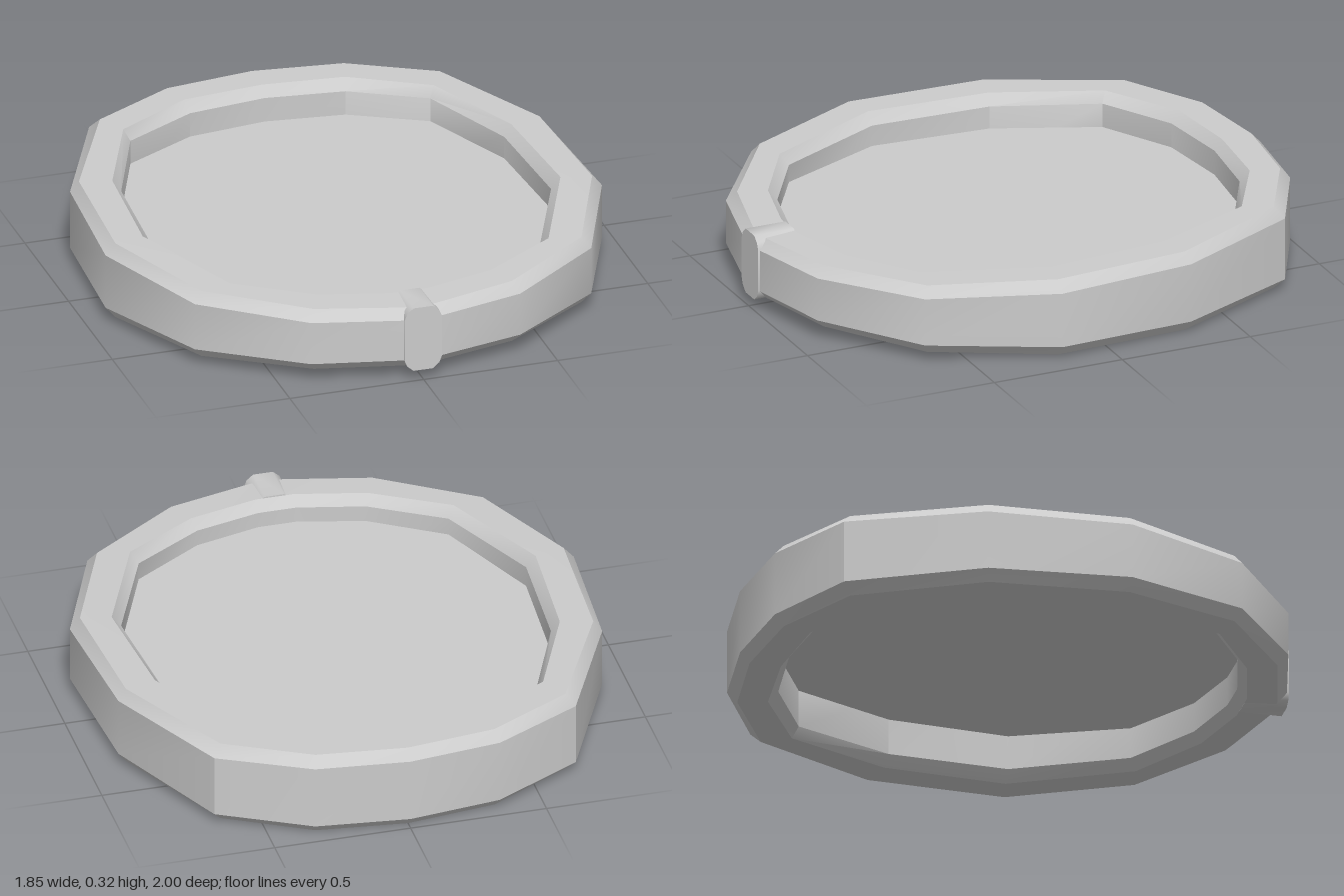
import * as THREE from 'three';
import { toCreasedNormals } from 'three/addons/utils/BufferGeometryUtils.js';

const MID = 0.16; // the rim mirrors above and below this height
const PANEL_Y = 0.185; // height of the thin panel inside the rim

// right half outlines [x, z], from back centre round to the front
const panelEdge = [[0, -0.82], [0.29, -0.785], [0.56, -0.64], [0.715, -0.27], [0.745, 0.175], [0.57, 0.58], [0.31, 0.745], [0.07, 0.805]];
const rimInner = [[0, -0.85], [0.3, -0.82], [0.58, -0.66], [0.745, -0.28], [0.78, 0.175], [0.595, 0.605], [0.325, 0.775], [0.07, 0.84]];
const rimOuter = [[0, -0.965], [0.33, -0.925], [0.635, -0.76], [0.86, -0.31], [0.89, 0.2], [0.71, 0.63], [0.37, 0.875], [0.06, 0.955]];
const wall = [[0, -1], [0.34, -0.96], [0.665, -0.79], [0.89, -0.32], [0.927, 0.2], [0.74, 0.65], [0.39, 0.91], [0.05, 0.992]];

// piecewise linear height along z
function along(z, stops) {
  for (let i = 1; i < stops.length; i++) {
    const [z0, y0] = stops[i - 1], [z1, y1] = stops[i];
    if (z <= z1 || i === stops.length - 1) {
      return THREE.MathUtils.lerp(y0, y1, THREE.MathUtils.clamp((z - z0) / (z1 - z0), 0, 1));
    }
  }
}
const rimY = (z) => along(z, [[-0.95, 0.318], [0.2, 0.305], [0.83, 0.28], [1, 0.272]]);
const wallY = (z) => along(z, [[-1, 0.28], [0.2, 0.263], [1, 0.238]]);

// full closed outline from its right half
const mirror = (half) => [...half, ...half.slice(1).reverse().map(([x, z]) => [-x, z])];
const loop = (half, height) => mirror(half).map(([x, z]) => [x, height(z), z]);

// closed band: inner wall, bevels, flat rims and outer wall
function rimGeometry() {
  const upper = [loop(panelEdge, wallY), loop(rimInner, rimY), loop(rimOuter, rimY), loop(wall, wallY)];
  const lower = upper.map((l) => l.map(([x, y, z]) => [x, 2 * MID - y, z])).reverse();
  const loops = [...upper, ...lower];
  const n = loops[0].length;
  const pos = [];
  loops.forEach((ring, k) => {
    const next = loops[(k + 1) % loops.length];
    for (let i = 0; i < n; i++) {
      const j = (i + 1) % n;
      pos.push(...ring[i], ...next[j], ...next[i]);
      pos.push(...ring[i], ...ring[j], ...next[j]);
    }
  });
  const g = new THREE.BufferGeometry();
  g.setAttribute('position', new THREE.Float32BufferAttribute(pos, 3));
  return toCreasedNormals(g, 0.6);
}

export function createModel() {
  const group = new THREE.Group();
  const material = new THREE.MeshStandardMaterial({ color: 0xcccccc });
  const add = (name, geometry, mat = material) => {
    const mesh = new THREE.Mesh(geometry, mat);
    mesh.name = name;
    group.add(mesh);
    return mesh;
  };

  add('rim', rimGeometry());

  // thin panel closing the rim, seen from above and below
  const panelShape = new THREE.Shape(mirror(panelEdge).map(([x, z]) => new THREE.Vector2(x, -z)));
  const panelGeometry = new THREE.ShapeGeometry(panelShape).rotateX(-Math.PI / 2);
  const sheet = new THREE.MeshStandardMaterial({ color: 0xcccccc, side: THREE.DoubleSide });
  add('panel', panelGeometry, sheet).position.y = PANEL_Y;

  // upright round-ended pin across the front of the rim
  const arc = [[0.07, 0.078], [0.06, 0.103], [0.036, 0.123], [-0.036, 0.123], [-0.06, 0.103], [-0.07, 0.078]];
  const outline = [...arc, ...arc.map(([x, y]) => [-x, -y])].map(([x, y]) => new THREE.Vector2(x, y));
  const pinGeometry = new THREE.ExtrudeGeometry(new THREE.Shape(outline), { depth: 0.155, bevelEnabled: false });
  add('frontPin', toCreasedNormals(pinGeometry, 0.9)).position.set(0, MID + 0.002, 0.84);

  return group;
}
